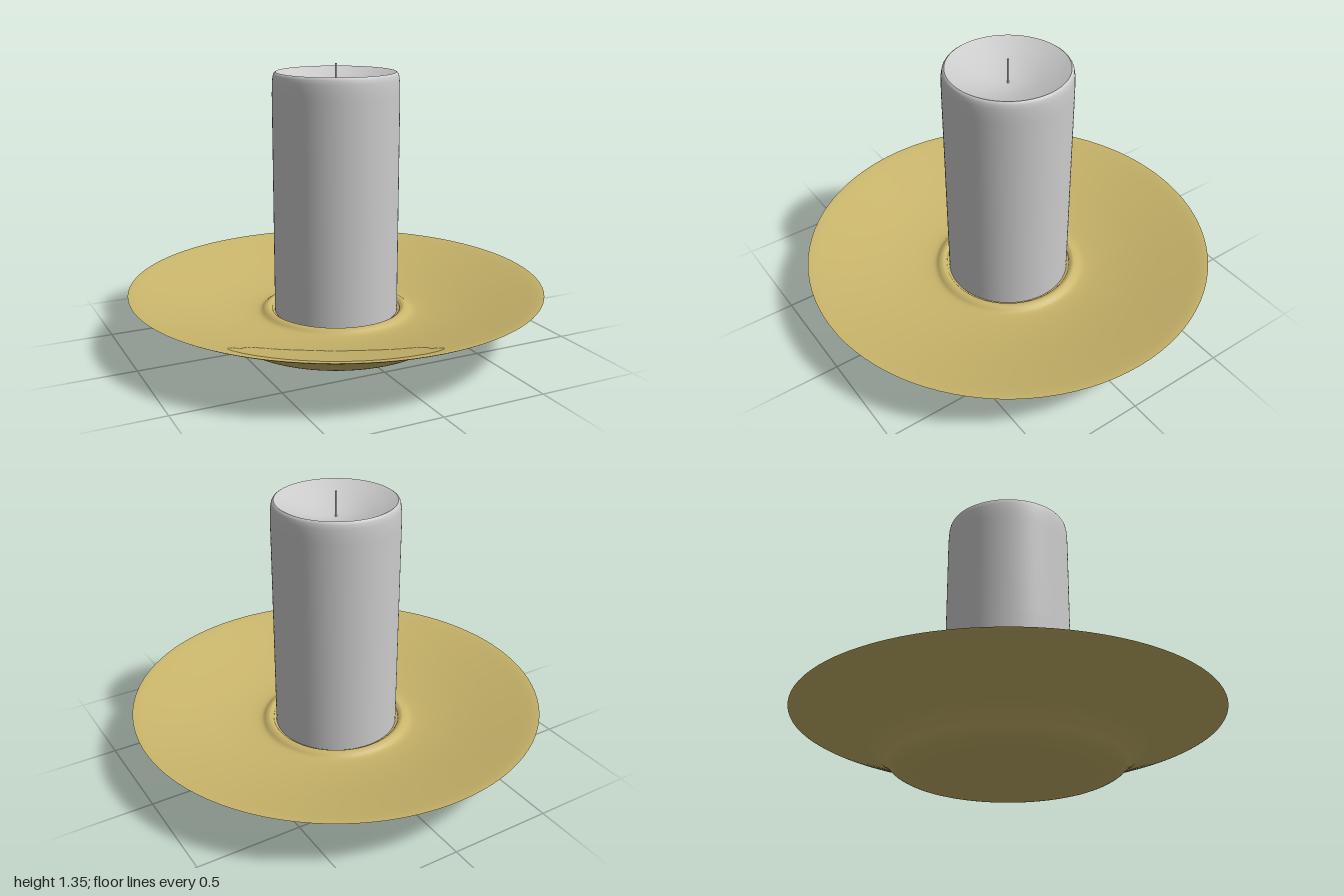
import * as THREE from 'three';

const wax = new THREE.MeshStandardMaterial({ color: 0xcccccc });
const brass = new THREE.MeshStandardMaterial({ color: 0xc8b46a });

// Smooth surface of revolution; profile runs bottom-centre, outwards, up, then inwards
function turned(name, profile, material, samples = 0) {
  let points = profile.map(([r, y]) => new THREE.Vector2(r, y));
  if (samples) {
    points = new THREE.SplineCurve(points).getPoints(samples);
    points.forEach((p) => { p.x = Math.min(1, Math.max(0, p.x)); });
  }
  const mesh = new THREE.Mesh(new THREE.LatheGeometry(points, 96), material);
  mesh.name = name;
  return mesh;
}

export function createModel() {
  const model = new THREE.Group();
  model.name = 'candleOnDish';

  // Dish: rounded foot flaring into a wide shallow rim
  const dish = new THREE.Group();
  dish.name = 'dish';
  dish.add(
    turned('dishUnderside', [
      [0, 0], [0.2, 0.005], [0.4, 0.013], [0.48, 0.022], [0.53, 0.044], [0.57, 0.08],
      [0.63, 0.122], [0.72, 0.162], [0.82, 0.203], [0.91, 0.237], [0.975, 0.262], [1, 0.275],
    ], brass, 66),
    // Upper face with a raised ring around the candle seat
    turned('dishTop', [
      [1, 0.275], [0.96, 0.268], [0.85, 0.238], [0.72, 0.203], [0.6, 0.174], [0.5, 0.155],
      [0.42, 0.145], [0.375, 0.146], [0.35, 0.161], [0.332, 0.166], [0.315, 0.158],
      [0.3, 0.147], [0.2, 0.14], [0, 0.14],
    ], brass, 91),
  );
  model.add(dish);

  // Candle: straight side with a softly drawn-in lip
  const candle = new THREE.Group();
  candle.name = 'candle';
  candle.add(
    turned('candleSide', [
      [0.3, 0.14], [0.3, 0.7], [0.3, 1.2], [0.299, 1.24], [0.297, 1.275],
      [0.293, 1.295], [0.288, 1.304], [0.282, 1.308],
    ], wax),
    // Melted hollow
    turned('candleHollow', [
      [0.282, 1.308], [0.27, 1.302], [0.22, 1.28], [0.14, 1.25], [0.07, 1.232], [0, 1.224],
    ], wax, 30),
  );
  model.add(candle);

  // Wick
  const wick = new THREE.Mesh(new THREE.CylinderGeometry(0.005, 0.005, 0.125, 12), wax);
  wick.name = 'wick';
  wick.position.y = 1.2825;
  model.add(wick);

  return model;
}
